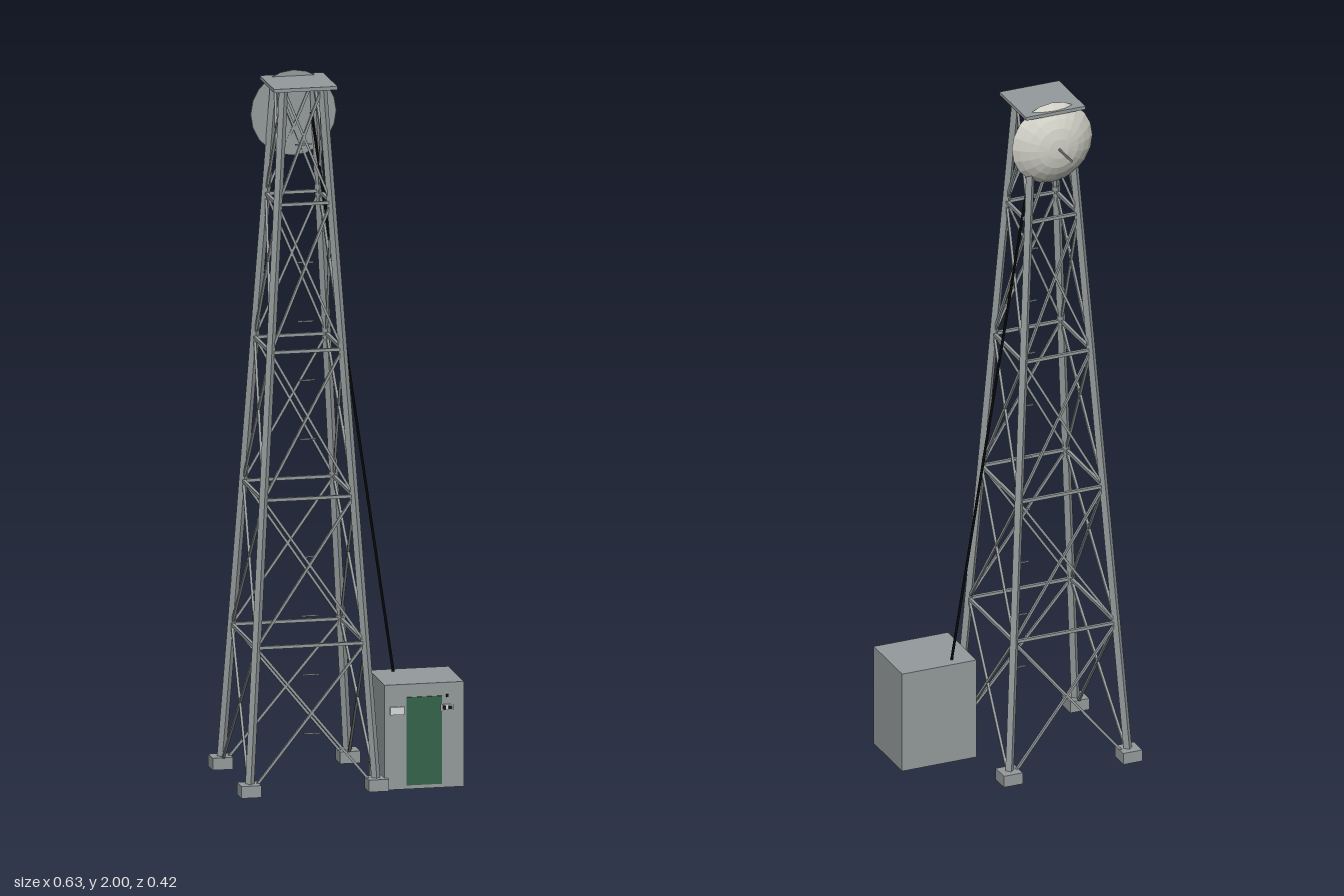
import * as THREE from 'three';

const mat = (name, color, side = THREE.FrontSide) => {
  const m = new THREE.MeshStandardMaterial({ color, side, flatShading: true });
  m.name = name;
  return m;
};

export function createModel() {
  const steel = mat('galvanized steel', 0x959b9c);
  const dishPaint = mat('dish off-white', 0xcfcfc6, THREE.DoubleSide);
  const green = mat('door green', 0x35634a);
  const black = mat('cable black', 0x141414);
  const plate = mat('plate light grey', 0xd8dad8);

  const model = new THREE.Group();
  model.name = 'latticeTower';
  const CX = -0.11;
  const TOP = 1.975;

  const add = (parent, name, geometry, material, x = 0, y = 0, z = 0) => {
    const mesh = new THREE.Mesh(geometry, material);
    mesh.name = name;
    mesh.position.set(x, y, z);
    parent.add(mesh);
    return mesh;
  };
  const box = (parent, name, material, w, h, d, x, y, z) =>
    add(parent, name, new THREE.BoxGeometry(w, h, d), material, x, y, z);

  // square bar from a to b
  const bar = (parent, name, a, b, size, material = steel) => {
    const mesh = add(parent, name, new THREE.BoxGeometry(size, size, a.distanceTo(b)), material);
    mesh.position.copy(a).add(b).multiplyScalar(0.5);
    mesh.lookAt(b);
    return mesh;
  };

  // tower: the half width shrinks evenly with height
  const tower = new THREE.Group();
  tower.name = 'tower';
  const half = (y) => 0.181 - (0.126 * y) / TOP;
  const signs = [[-1, 1], [1, 1], [1, -1], [-1, -1]];
  const corner = (i, y) => {
    const [sx, sz] = signs[i % 4];
    return new THREE.Vector3(sx * half(y), y, sz * half(y));
  };
  const levels = [0.003, 0.4125, 0.825, 1.2375, 1.65, TOP];

  for (let i = 0; i < 4; i++) {
    const [sx, sz] = signs[i];
    box(tower, 'footing', steel, 0.057, 0.034, 0.057, sx * 0.181, 0.017, sz * 0.181);
    bar(tower, 'leg', corner(i, 0.003), corner(i, TOP), 0.018);
    // cross braces and horizontal ties of one face
    for (let k = 0; k < levels.length - 1; k++) {
      const [y0, y1] = [levels[k], levels[k + 1]];
      bar(tower, 'crossBrace', corner(i, y0), corner(i + 1, y1), 0.007);
      bar(tower, 'crossBrace', corner(i + 1, y0), corner(i, y1), 0.007);
      if (k > 0) bar(tower, 'horizontalTie', corner(i, y0), corner(i + 1, y0), 0.009);
    }
  }

  // climbing rungs up the front face
  for (let k = 1; k <= 11; k++) {
    const y = k * 0.165;
    box(tower, 'rung', steel, 0.046, 0.004, 0.004, 0, y, half(y) - 0.004);
  }
  box(tower, 'topPlatform', steel, 0.18, 0.01, 0.18, 0, 1.977, 0);
  tower.position.x = CX;
  model.add(tower);

  // dish bulging to the rear, with its feed rod
  const dish = new THREE.Group();
  dish.name = 'dish';
  const profile = [[0, 0.051], [0.03, 0.0495], [0.06, 0.043], [0.085, 0.031], [0.106, 0.016], [0.122, 0]]
    .map(([r, y]) => new THREE.Vector2(r, y));
  add(dish, 'dishShell', new THREE.LatheGeometry(profile, 20), dishPaint).rotation.x = -Math.PI / 2;
  add(dish, 'dishFace', new THREE.CircleGeometry(0.121, 20), steel, 0, 0, 0.001);
  add(dish, 'feedRod', new THREE.CylinderGeometry(0.0035, 0.0035, 0.09, 8), steel, 0, 0, -0.09)
    .rotation.x = Math.PI / 2;
  dish.position.set(CX, 1.878, -0.066);
  model.add(dish);

  // cable from the dish to the cabinet roof
  const cable = new THREE.LineCurve3(
    new THREE.Vector3(-0.062, 1.88, -0.052), new THREE.Vector3(0.152, 0.295, 0.031));
  add(model, 'cable', new THREE.TubeGeometry(cable, 1, 0.004, 8), black);

  // equipment cabinet with door, plates and latch
  const cabinet = new THREE.Group();
  cabinet.name = 'cabinet';
  box(cabinet, 'cabinetBody', steel, 0.225, 0.298, 0.195, 0.2025, 0.149, 0.0975);
  box(cabinet, 'door', green, 0.1, 0.25, 0.004, 0.202, 0.136, 0.196);
  box(cabinet, 'leftPlate', plate, 0.04, 0.022, 0.006, 0.126, 0.224, 0.197);
  box(cabinet, 'rightPlate', plate, 0.036, 0.016, 0.006, 0.267, 0.228, 0.197);
  box(cabinet, 'latch', black, 0.01, 0.01, 0.003, 0.258, 0.228, 0.2005);
  box(cabinet, 'latch', black, 0.01, 0.01, 0.003, 0.276, 0.228, 0.2005);
  box(cabinet, 'lock', black, 0.006, 0.008, 0.004, 0.268, 0.26, 0.196);
  model.add(cabinet);

  return model;
}
